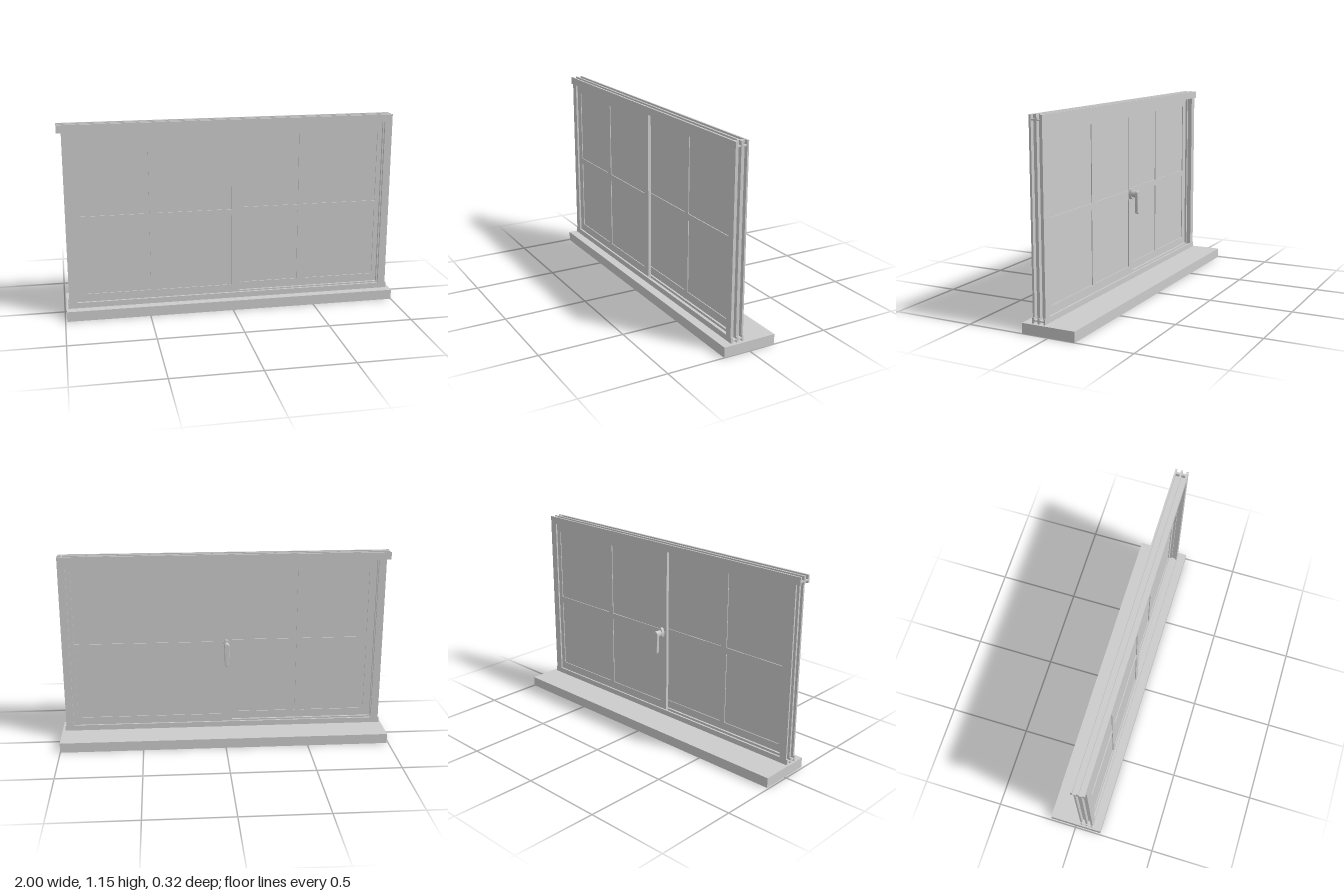
import * as THREE from 'three';

const mat = new THREE.MeshStandardMaterial({ color: 0xcccccc });

function add(parent, name, geo, x = 0, y = 0, z = 0) {
  const m = new THREE.Mesh(geo, mat);
  m.name = name;
  m.position.set(x, y, z);
  parent.add(m);
  return m;
}

// Track profile: a web with three fins on both sides; x points out of the opening, y is depth
function trackShape(w) {
  const a = 0.014, b = 0.021; // web position
  const f = [[0.028, 0.038], [0.061, 0.073], [0.095, 0.107]];
  const p = [];
  for (const [lo, hi] of f) p.push([b, lo], [w, lo], [w, hi], [b, hi]);
  for (const [lo, hi] of f.slice().reverse()) p.push([a, hi], [0, hi], [0, lo], [a, lo]);
  return new THREE.Shape(p.map(([x, y]) => new THREE.Vector2(x, y)));
}

function track(parent, name, w, length, out, x, y) {
  const geo = new THREE.ExtrudeGeometry(trackShape(w), { depth: length, bevelEnabled: false });
  geo.translate(0, 0, -length / 2);
  const zAxis = new THREE.Vector3(0, 0, 1);
  const along = out.clone().cross(zAxis);
  geo.applyMatrix4(new THREE.Matrix4().makeBasis(out, zAxis, along));
  add(parent, name, geo, x, y, 0);
}

function rectPath(Type, x0, y0, x1, y1) {
  const p = new Type();
  p.moveTo(x0, y0);
  p.lineTo(x1, y0);
  p.lineTo(x1, y1);
  p.lineTo(x0, y1);
  p.closePath();
  return p;
}

// Sliding sash: frame with glazing bars, and a thin pane within
function sash(parent, name, x0, x1, columns, z, depth) {
  const g = new THREE.Group();
  g.name = name;
  const y0 = 0.08, y1 = 1.122;
  const shape = rectPath(THREE.Shape, x0, y0, x1, y1);
  for (const [a, b] of columns)
    for (const [c, d] of [[0.14, 0.575], [0.615, 1.06]])
      shape.holes.push(rectPath(THREE.Path, a, c, b, d));
  add(g, name + 'Frame', new THREE.ExtrudeGeometry(shape, { depth, bevelEnabled: false }), 0, 0, z);
  add(g, name + 'Glass', new THREE.BoxGeometry(x1 - x0 - 0.03, y1 - y0 - 0.03, 0.008),
    (x0 + x1) / 2, (y0 + y1) / 2, z + depth / 2);
  parent.add(g);
}

export function createModel() {
  const root = new THREE.Group();
  root.name = 'slidingWindow';

  add(root, 'sill', new THREE.BoxGeometry(1.99, 0.06, 0.32), 0.005, 0.03, 0);

  // Outer frame
  const frame = new THREE.Group();
  frame.name = 'outerFrame';
  track(frame, 'topTrack', 0.045, 1.972, new THREE.Vector3(0, 1, 0), -0.014, 1.11);
  track(frame, 'bottomTrack', 0.034, 1.962, new THREE.Vector3(0, -1, 0), 0.001, 0.093);
  track(frame, 'rightJamb', 0.045, 1.05, new THREE.Vector3(-1, 0, 0), -0.928, 0.585);
  track(frame, 'leftJamb', 0.045, 1.095, new THREE.Vector3(1, 0, 0), 0.93, 0.6075);
  root.add(frame);

  // Front and rear sashes overlap at the middle
  sash(root, 'frontSash', -0.938, 0.05, [[-0.885, -0.488], [-0.45, 0]], 0.075, 0.018);
  sash(root, 'rearSash', -0.05, 0.94, [[0, 0.417], [0.452, 0.903]], 0.04, 0.018);

  // Handle on the rear sash's meeting stile
  const handle = new THREE.Group();
  handle.name = 'handle';
  handle.position.x = -0.015;
  const plate = new THREE.CylinderGeometry(0.018, 0.018, 0.02, 24).rotateX(Math.PI / 2).scale(1, 1.9, 1);
  add(handle, 'handlePlate', plate, 0, 0.595, 0.031);
  const neck = new THREE.CylinderGeometry(0.015, 0.015, 0.036, 20).rotateX(Math.PI / 2).scale(1, 1.4, 1);
  add(handle, 'handleNeck', neck, 0, 0.595, 0.006);

  const grip = new THREE.Shape();
  grip.moveTo(-0.008, 0.482);
  grip.quadraticCurveTo(0, 0.475, 0.008, 0.482);
  grip.lineTo(0.012, 0.59);
  grip.absarc(0, 0.601, 0.012, 0, Math.PI, false);
  grip.lineTo(-0.012, 0.59);
  grip.closePath();
  const gripGeo = new THREE.ExtrudeGeometry(grip, {
    depth: 0.012, bevelThickness: 0.004, bevelSize: 0.004, bevelSegments: 3, curveSegments: 8,
  });
  add(handle, 'handleGrip', gripGeo, 0, 0, -0.017);
  root.add(handle);

  return root;
}
